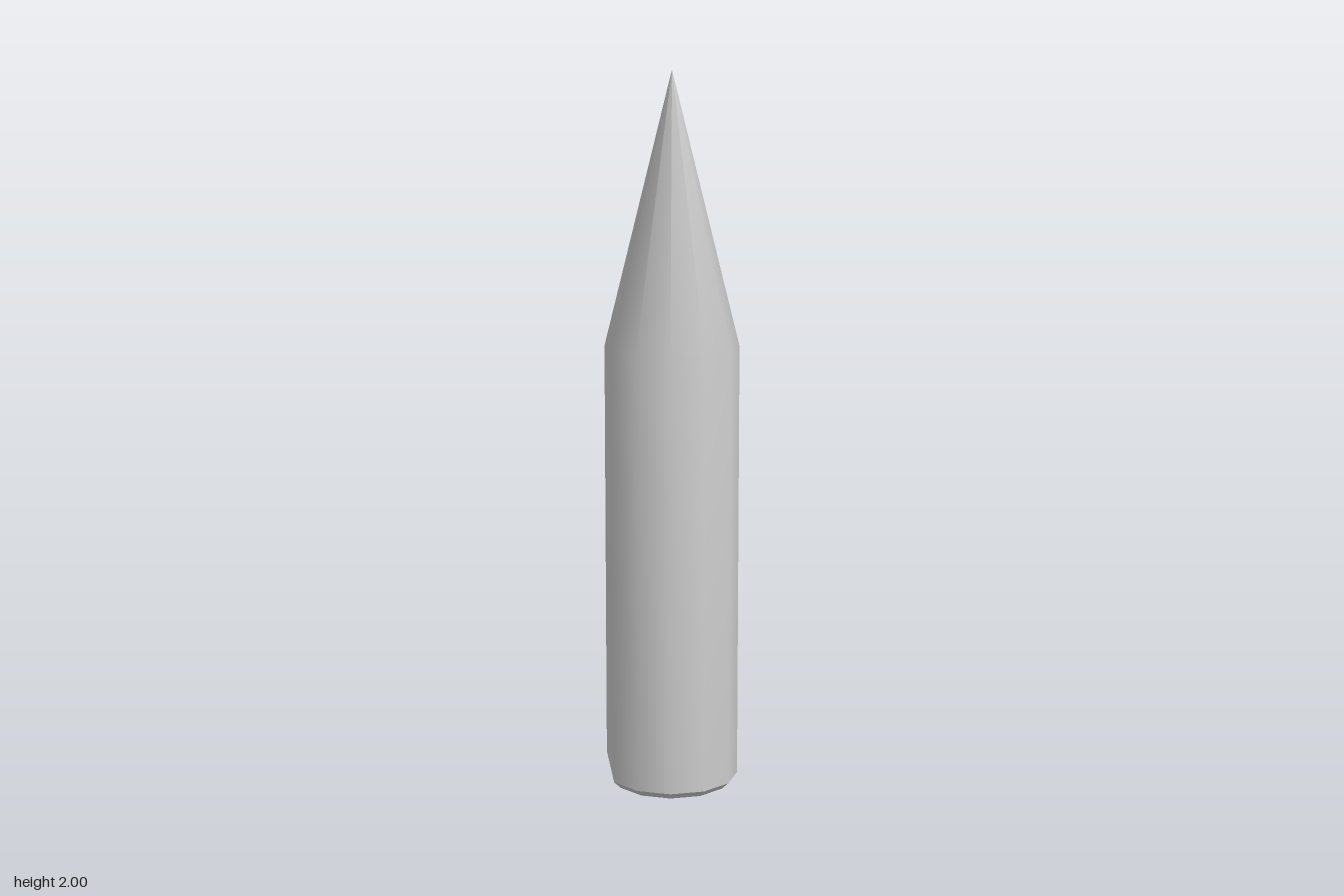
import * as THREE from 'three';

const SIDES = 12;
const RADIUS = 0.186;
const BASE_RADIUS = 0.165;
const RIM_Y = 0.02;
// Rim corners lifted by the chip in the lower edge: side index -> height
const CHIP = { 8: 0.2, 9: 0.08 };

const ringPoint = (i, r, y) => {
  const a = (i / SIDES) * Math.PI * 2;
  return new THREE.Vector3(r * Math.sin(a), y, r * Math.cos(a));
};

// Smooth shaft running into a long pointed tip
function shaftGeometry() {
  const profile = [[RADIUS, RIM_Y], [RADIUS, 1.25], [0, 2]].map(([x, y]) => new THREE.Vector2(x, y));
  const geometry = new THREE.LatheGeometry(profile, SIDES);
  const position = geometry.attributes.position;
  for (const side in CHIP) position.setY(side * profile.length, CHIP[side]);
  return geometry;
}

// Flat-faced bevel, underside and chipped ledge
function baseGeometry() {
  const rim = [], foot = [];
  for (let i = 0; i < SIDES; i++) {
    rim.push(ringPoint(i, RADIUS, CHIP[i] ?? RIM_Y));
    foot.push(ringPoint(i, BASE_RADIUS, 0));
  }
  // The chip pulls two foot corners inward behind a straight edge
  const inward = new THREE.Vector3(0.02, RIM_Y, 0.005);
  foot[8] = foot[7].clone().lerp(foot[10], 1 / 3).add(inward);
  foot[9] = foot[7].clone().lerp(foot[10], 2 / 3).add(inward);

  const points = [];
  const quad = (a, b, c, d) => points.push(a, b, c, a, c, d);
  for (let i = 0; i < SIDES; i++) {
    const j = (i + 1) % SIDES;
    quad(foot[i], foot[j], rim[j], rim[i]);
  }
  quad(foot[7], foot[10], foot[9], foot[8]);

  const outline = foot.filter((_, i) => !(i in CHIP));
  const centre = new THREE.Vector3();
  outline.forEach((p, i) => points.push(centre, outline[(i + 1) % outline.length], p));

  const geometry = new THREE.BufferGeometry().setFromPoints(points);
  geometry.computeVertexNormals();
  return geometry;
}

export function createModel() {
  const group = new THREE.Group();
  group.name = 'pointedStake';
  const material = new THREE.MeshStandardMaterial({ color: 0xcccccc });
  const parts = { shaftAndTip: shaftGeometry(), chippedBase: baseGeometry() };
  for (const name in parts) {
    const mesh = new THREE.Mesh(parts[name], material);
    mesh.name = name;
    group.add(mesh);
  }
  return group;
}
